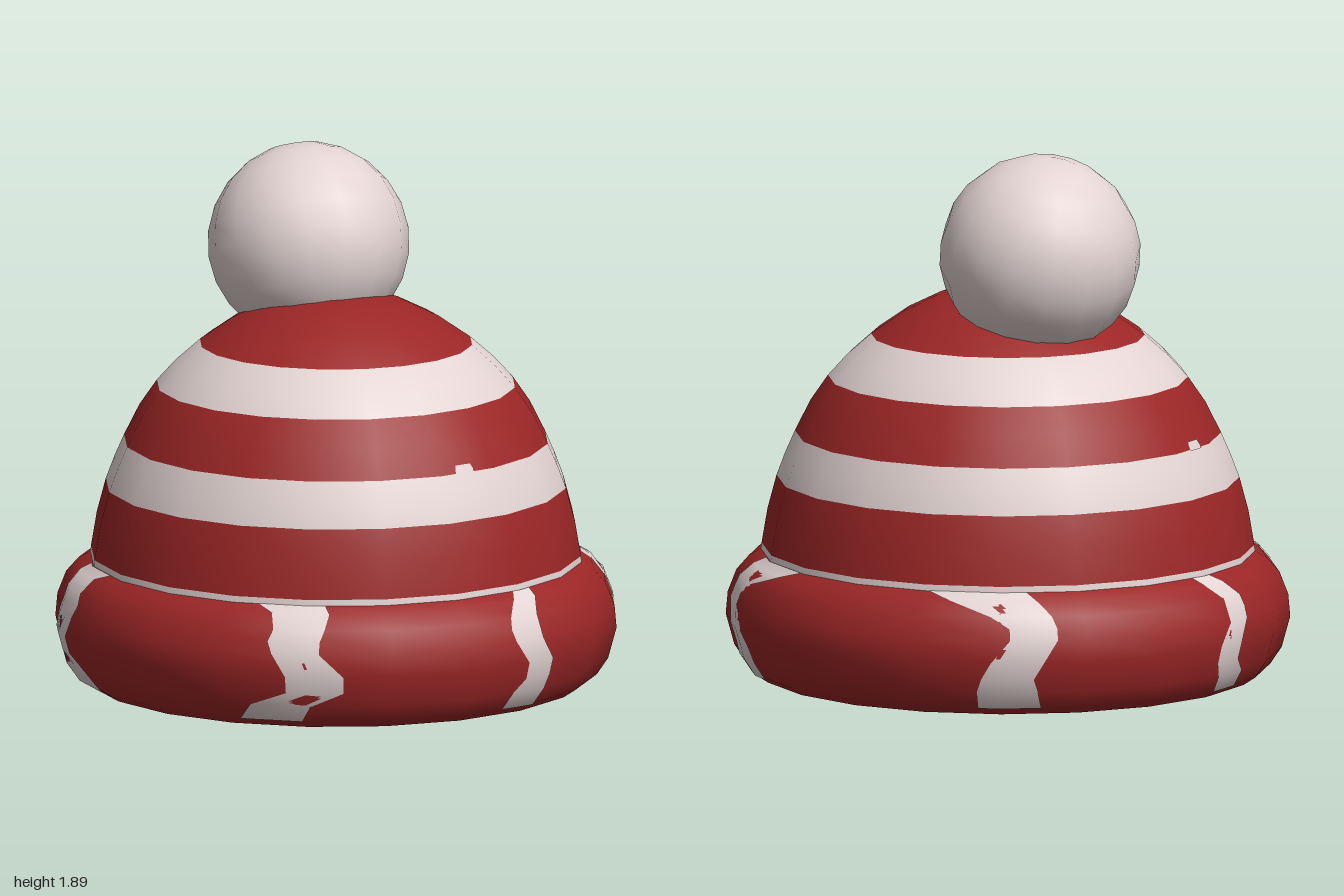
import * as THREE from 'three';

const SIDES = 20;
const STEP = (Math.PI * 2) / SIDES;

// profiles as [radius, height]
const BRIM = [[0.885, 0], [0.93, 0.03], [0.97, 0.09], [1, 0.2], [0.993, 0.28], [0.962, 0.36], [0.918, 0.41], [0.872, 0.436]];
// dome rows also carry the material of the band above them: 0 red, 1 white
const DOME = [
  [0.877, 0.42, 1], [0.873, 0.456, 0], [0.852, 0.58, 0], [0.82, 0.70, 1], [0.788, 0.785, 1],
  [0.755, 0.86, 0], [0.70, 0.97, 0], [0.638, 1.06, 1], [0.57, 1.135, 1], [0.485, 1.21, 0],
  [0.37, 1.29, 0], [0.25, 1.35, 0], [0.12, 1.383, 0], [0, 1.39, 0],
];

const lathe = (profile) =>
  new THREE.LatheGeometry(profile.map(([r, y]) => new THREE.Vector2(r, y)), SIDES);

function radiusAt(profile, y) {
  for (let i = 1; i < profile.length; i++) {
    const [r0, y0] = profile[i - 1], [r1, y1] = profile[i];
    if (y <= y1) return r0 + (r1 - r0) * Math.max(0, (y - y0) / (y1 - y0));
  }
  return profile[profile.length - 1][0];
}

// thin patch hugging a faceted lathe; rows are [height, start degrees, end degrees]
function patch(profile, rows, cols = 8) {
  const pos = [], nor = [], idx = [];
  rows.forEach(([y, a0, a1], j) => {
    const slope = (radiusAt(profile, y + 0.015) - radiusAt(profile, y - 0.015)) / 0.03;
    for (let i = 0; i <= cols; i++) {
      const a = THREE.MathUtils.degToRad(a0 + ((a1 - a0) * i) / cols);
      const inFacet = a - Math.floor(a / STEP) * STEP - STEP / 2;
      const r = (radiusAt(profile, y) * Math.cos(STEP / 2)) / Math.cos(inFacet);
      const n = new THREE.Vector3(Math.sin(a), -slope, Math.cos(a)).normalize();
      const p = new THREE.Vector3(Math.sin(a) * r, y, Math.cos(a) * r).addScaledVector(n, 0.004);
      pos.push(p.x, p.y, p.z);
      nor.push(n.x, n.y, n.z);
      if (j && i) {
        const d = j * (cols + 1) + i, c = d - 1, b = d - cols - 1, e = b - 1;
        idx.push(e, b, d, e, d, c);
      }
    }
  });
  const g = new THREE.BufferGeometry();
  g.setAttribute('position', new THREE.Float32BufferAttribute(pos, 3));
  g.setAttribute('normal', new THREE.Float32BufferAttribute(nor, 3));
  g.setIndex(idx);
  return g;
}

export function createModel() {
  const model = new THREE.Group();
  const red = new THREE.MeshStandardMaterial({ color: 0x9c2626 });
  red.name = 'red wool';
  const white = new THREE.MeshStandardMaterial({ color: 0xe3d4d3 });
  white.name = 'pale wool';
  const add = (name, geometry, material) => {
    const mesh = new THREE.Mesh(geometry, material);
    mesh.name = name;
    model.add(mesh);
    return mesh;
  };

  // folded brim and its closed underside
  add('brim', lathe(BRIM), red);
  add('underside', new THREE.CircleGeometry(BRIM[0][0], SIDES).rotateX(Math.PI / 2), red);

  // striped dome, one group per facet of each band
  const dome = lathe(DOME);
  const bands = DOME.length - 1;
  const perSide = dome.index.count / SIDES;
  dome.clearGroups();
  for (let s = 0; s < SIDES; s++) {
    for (let j = 0; j < bands; j++) {
      const count = Math.min(6, perSide - j * 6);
      if (count > 0) dome.addGroup(s * perSide + j * 6, count, DOME[j][2]);
    }
  }
  add('dome', dome, [red, white]);

  // wavy brim stripes and a stray stitch, repeated front and back
  const heights = [0.03, 0.09, 0.14, 0.2, 0.28, 0.32, 0.36, 0.41, 0.433];
  const stripes = {
    centreStripe: [[-8, 1], [-7, 2], [-4, 3], [-4, 3], [-7, 0], [-7.5, 0], [-7, 0], [-4, 3], [-2, 4]],
    leftStripe: [[45, 59], [46, 59], [47, 58], [45, 56], [42, 52], [42, 52], [43, 56], [46, 66], [48, 71]],
    rightStripe: [[-69, -55], [-66, -53], [-58, -46], [-58, -46], [-61, -51], [-62, -51], [-61, -50], [-62, -49], [-66, -50]],
  };
  const flip = (rows) => rows.map(([y, a, b]) => [y, 180 - b, 180 - a]);
  const addBoth = (name, profile, rows) => {
    add(name + 'Front', patch(profile, rows), white);
    add(name + 'Back', patch(profile, flip(rows)), white);
  };
  for (const [name, edges] of Object.entries(stripes)) {
    addBoth(name, BRIM, edges.map(([a, b], i) => [heights[i], a, b]));
  }
  addBoth('strayStitch', DOME, [[0.855, -13, -7], [0.87, -13, -7], [0.886, -12.5, -7.5]]);

  // pompom, leaning back to one side
  const pompom = add('pompom', new THREE.SphereGeometry(0.358, 16, 12), white);
  pompom.position.set(0.08, 1.53, -0.205);
  pompom.rotation.set(-0.35, 0, -0.15);
  return model;
}
